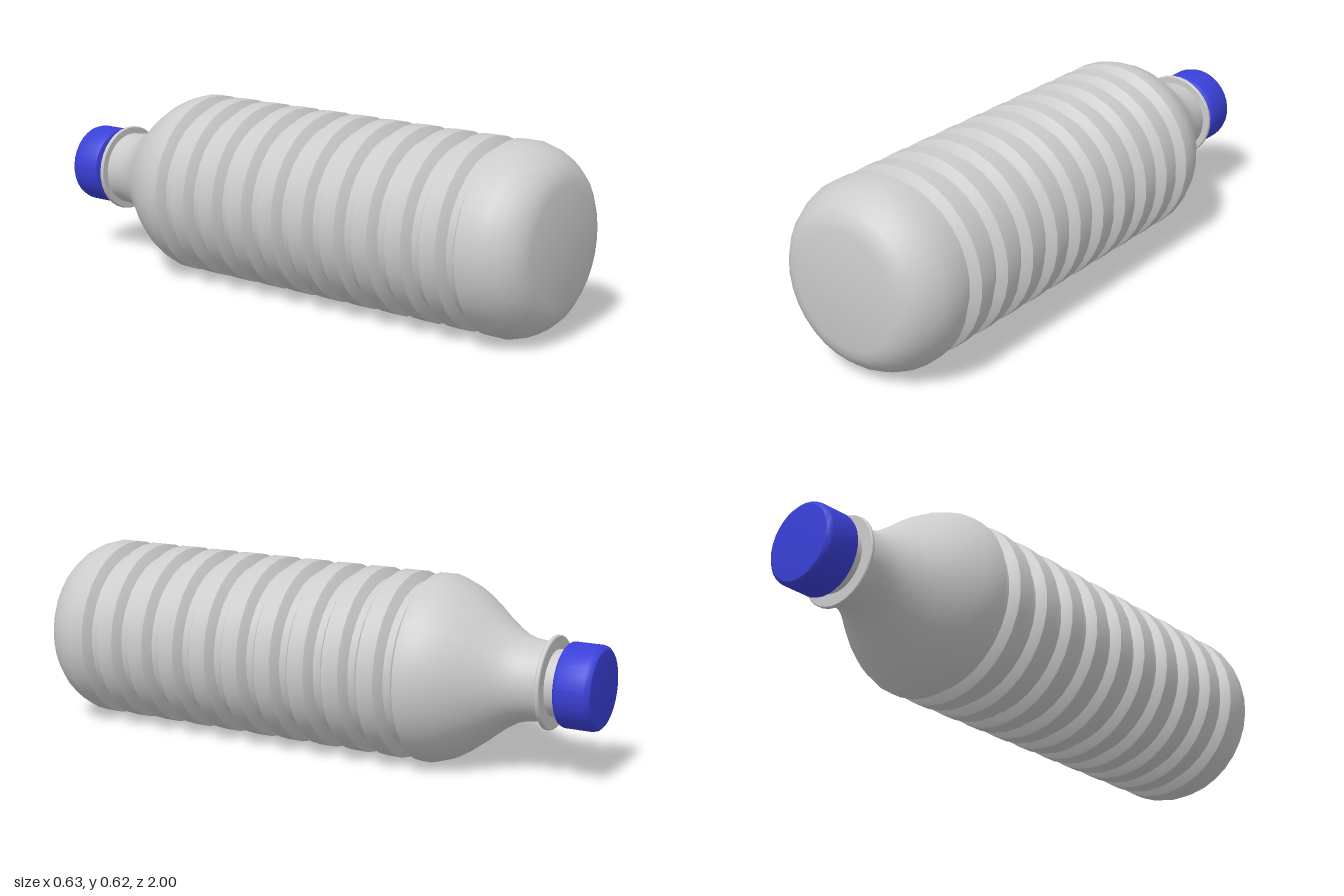
import * as THREE from 'three';
import { toCreasedNormals } from 'three/addons/utils/BufferGeometryUtils.js';

const SIDES = 32;

// Turned part lying along z; profile pairs are [radius, distance towards the neck].
function turned(name, profile, material) {
  const points = profile.map(([r, d]) => new THREE.Vector2(r, d));
  const lathe = new THREE.LatheGeometry(points, SIDES, Math.PI / SIDES);
  lathe.rotateX(-Math.PI / 2);
  const mesh = new THREE.Mesh(toCreasedNormals(lathe, 0.6), material);
  mesh.name = name;
  return mesh;
}

export function createModel() {
  const grey = new THREE.MeshStandardMaterial({ color: 0xcccccc });
  const blue = new THREE.MeshStandardMaterial({ color: 0x3a40d8 });
  const bottle = new THREE.Group();
  bottle.name = 'bottle';

  // Rounded base
  const R = 0.313;
  const body = [[0, -1], [0.195, -1], [0.225, -0.992], [0.255, -0.973], [0.283, -0.94], [0.303, -0.9], [R, -0.865]];

  // Ten grooves along the barrel
  for (let i = 0; i < 10; i++) {
    const d = -0.77 + i * 0.1275;
    body.push([R, d - 0.034], [R - 0.008, d - 0.028], [R - 0.031, d - 0.013],
      [R - 0.031, d + 0.013], [R - 0.008, d + 0.028], [R, d + 0.034]);
  }

  // Shoulder and neck
  body.push([R, 0.45], [0.304, 0.48], [0.29, 0.515], [0.265, 0.557], [0.232, 0.602], [0.198, 0.643],
    [0.167, 0.685], [0.146, 0.72], [0.135, 0.755], [0.13, 0.79], [0.128, 0.83], [0.109, 0.83], [0.109, 0.89]);
  bottle.add(turned('body', body, grey));

  // Thin ring below the cap
  bottle.add(turned('neckRing', [[0.1, 0.825], [0.15, 0.825], [0.153, 0.828],
    [0.153, 0.837], [0.15, 0.84], [0.1, 0.84]], grey));

  // Screw cap with softened rims
  bottle.add(turned('cap', [[0, 0.876], [0.127, 0.876], [0.134, 0.88], [0.138, 0.889], [0.138, 0.98],
    [0.135, 0.991], [0.126, 0.999], [0.118, 1], [0, 1]], blue));

  // The bottle rests on its side, its axis very slightly skewed
  bottle.position.set(-0.002, 0.3115, 0);
  bottle.rotation.y = 0.005;

  const model = new THREE.Group();
  model.add(bottle);
  return model;
}
